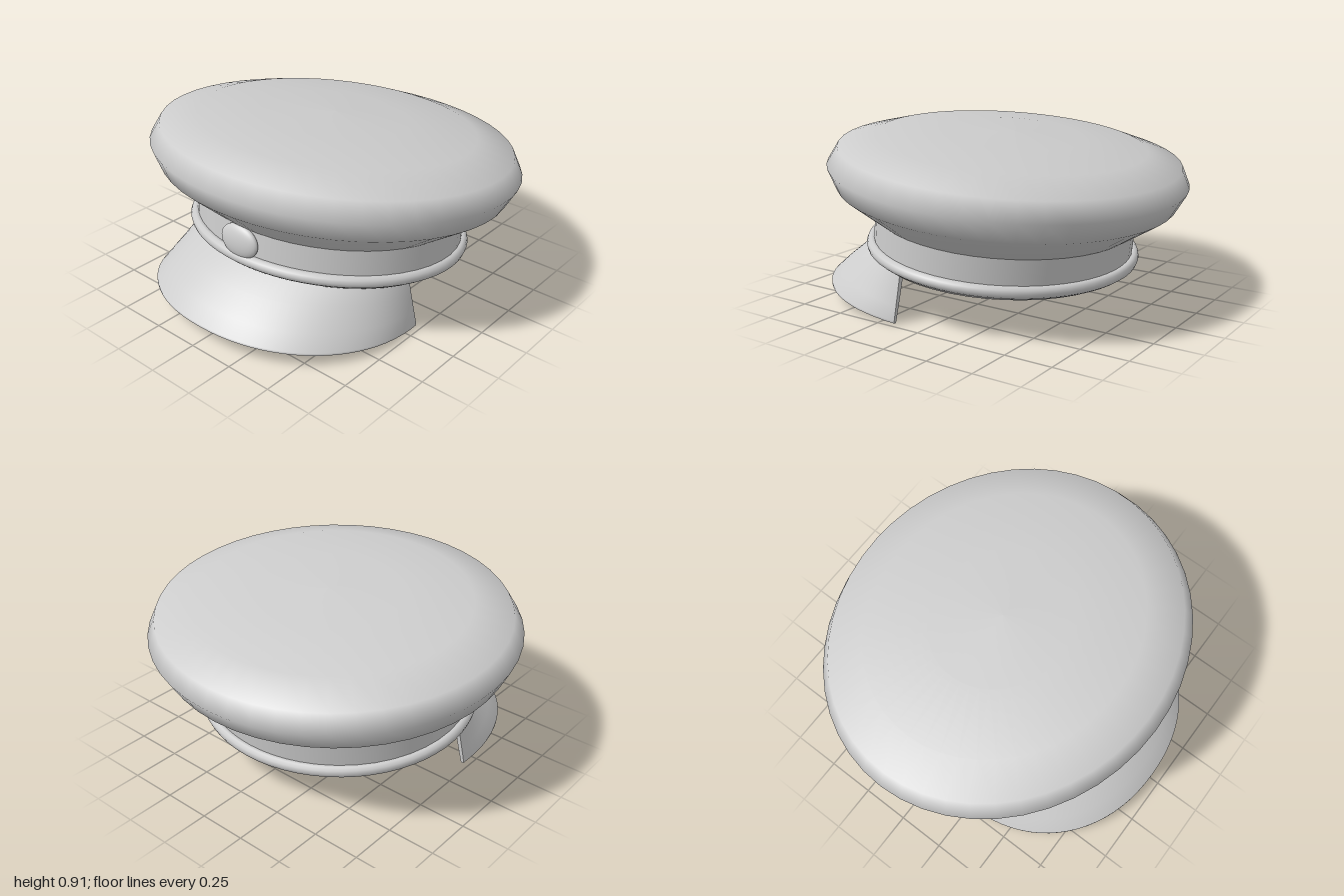
import * as THREE from 'three';

export function createModel() {
  const cloth = new THREE.MeshStandardMaterial({ color: 0xcccccc, side: THREE.DoubleSide });
  cloth.name = 'light grey';

  const model = new THREE.Group();
  model.name = 'peakedCap';

  // The whole cap leans back a little, front edge up
  const cap = new THREE.Group();
  cap.name = 'tiltedCap';
  cap.rotation.x = -0.105;
  cap.position.z = 0.028;
  model.add(cap);

  const add = (name, geometry) => {
    const mesh = new THREE.Mesh(geometry, cloth);
    mesh.name = name;
    cap.add(mesh);
    return mesh;
  };

  // Oval turned part from [radius, height] pairs, bottom to top
  const turned = (name, profile, depth = 0.9) =>
    add(name, new THREE.LatheGeometry(profile.map(p => new THREE.Vector2(...p)), 48).scale(1, 1, depth));

  // Crown: flared underside, rounded edge and shallow dome
  turned('crown', [[0.735, 0.444], [0.945, 0.59], [1, 0.697], [0.95, 0.79],
    [0.75, 0.85], [0.4, 0.882], [0, 0.893]], 0.907);

  // Head band with its inner lining and lower edge
  turned('band', [[0.735, 0.25], [0.735, 0.444]]);
  turned('bandLining', [[0.69, 0.444], [0.69, 0.25]]);
  turned('bandTopEdge', [[0.735, 0.443], [0.69, 0.443]]);
  turned('bandLowerEdge', [[0.69, 0.25], [0.695, 0.238], [0.71, 0.233], [0.725, 0.238], [0.735, 0.25]]);

  // Piping around the foot of the band
  const piping = new THREE.TorusGeometry(0.738, 0.031, 10, 64).rotateX(Math.PI / 2).scale(1, 1, 0.91);
  add('piping', piping).position.y = 0.283;

  // Badge on the front of the band
  const badge = add('badge', new THREE.SphereGeometry(1, 32, 20));
  badge.scale.set(0.12, 0.086, 0.036);
  badge.position.set(0, 0.371, 0.672);

  // Smooth sheet through rows of equally many points
  const sheet = (name, rows) => {
    const n = rows[0].length, index = [];
    for (let r = 0; r < rows.length - 1; r++) {
      for (let c = 0; c < n - 1; c++) {
        const a = r * n + c, b = a + n;
        index.push(a, b, a + 1, b, b + 1, a + 1);
      }
    }
    const g = new THREE.BufferGeometry();
    g.setAttribute('position', new THREE.Float32BufferAttribute(rows.flat(2), 3));
    g.setIndex(index);
    g.computeVertexNormals();
    add(name, g);
  };

  // Visor row: t = 0 at the band, 1 at the outer edge; inset gives the thickness
  const columns = 44;
  const power = (v, e) => Math.sign(v) * Math.abs(v) ** e;
  const visorRow = (t, y, inset, bulge = 0) => {
    const row = [];
    for (let i = 0; i <= columns; i++) {
      const s = 1 - 2 * i / columns;               // from the wearer's right to left
      const outer = s * (Math.PI / 2 + 0.14);
      const inner = s * (Math.PI / 2 - 0.26);
      const ox = -(0.73 - inset) * power(Math.sin(outer), 0.93);
      const oz = 0.25 + (0.68 - inset) * power(Math.cos(outer), 0.93);
      const ix = -(0.69 - inset) * Math.sin(inner);
      const iz = (0.65 - inset) * Math.cos(inner);
      row.push([
        THREE.MathUtils.lerp(ix, ox, t),
        y,
        THREE.MathUtils.lerp(iz, oz, t) + bulge * Math.max(0, Math.cos(outer)),
      ]);
    }
    return row;
  };
  const outerRows = [visorRow(0, 0.25, 0), visorRow(0.3, 0.172, 0, 0.035),
    visorRow(0.7, 0.075, 0, 0.02), visorRow(0.99, 0.005, 0), visorRow(1, -0.008, 0.004)];
  const innerRows = [visorRow(0, 0.25, 0.022), visorRow(0.3, 0.165, 0.022, 0.035),
    visorRow(0.7, 0.068, 0.022, 0.02), visorRow(0.99, 0.002, 0.022), visorRow(1, -0.01, 0.018)];
  sheet('visorTop', outerRows);
  sheet('visorUnderside', [...innerRows].reverse());
  sheet('visorRim', [outerRows[4], innerRows[4]]);

  // Closed ends of the visor
  sheet('visorRightEnd', [innerRows.map(r => r[0]), outerRows.map(r => r[0])]);
  sheet('visorLeftEnd', [outerRows.map(r => r[columns]), innerRows.map(r => r[columns])]);

  return model;
}
